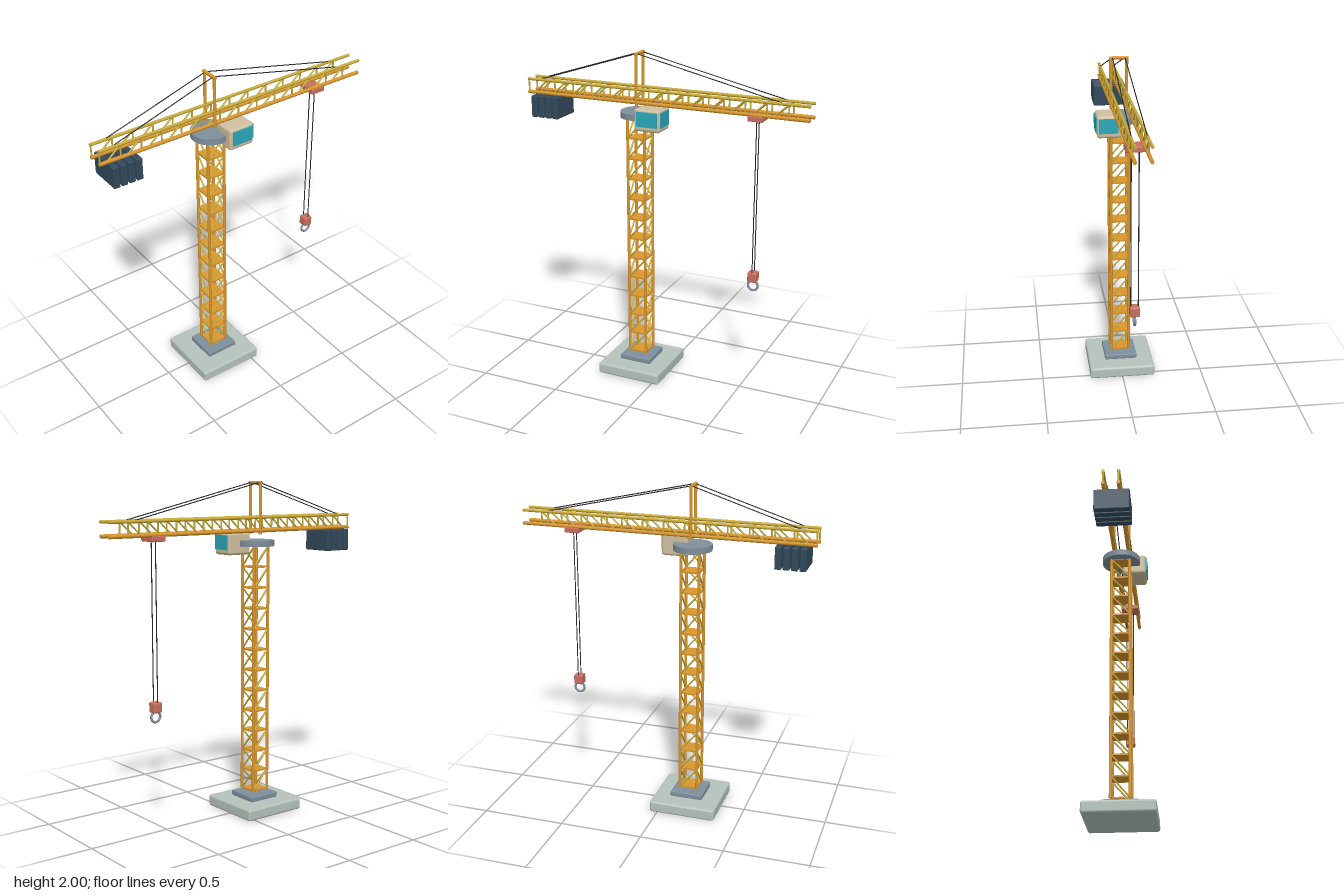
import * as THREE from 'three';
import { RoundedBoxGeometry } from 'three/addons/geometries/RoundedBoxGeometry.js';

const material = (name, color) => {
  const m = new THREE.MeshStandardMaterial({ color });
  m.name = name;
  return m;
};

export function createModel() {
  const orange = material('orange paint', 0xd9962c);
  const yellow = material('yellow paint', 0xcbab36);
  const concrete = material('concrete', 0xb5c3bb);
  const steel = material('steel', 0x7d8f9c);
  const slate = material('counterweight slate', 0x32495c);
  const cream = material('cab cream', 0xcfbf9e);
  const glass = material('glass', 0x2ba8ba);
  const red = material('red paint', 0xc96f5f);
  const black = material('cable black', 0x222426);

  const model = new THREE.Group();
  model.name = 'towerCrane';
  const group = (name) => {
    const g = new THREE.Group();
    g.name = name;
    model.add(g);
    return g;
  };
  const add = (parent, name, geometry, mat, x, y, z) => {
    const mesh = new THREE.Mesh(geometry, mat);
    mesh.name = name;
    mesh.position.set(x, y, z);
    parent.add(mesh);
    return mesh;
  };
  const block = (parent, name, mat, size, pos, r = 0.01) =>
    add(parent, name, new RoundedBoxGeometry(...size, 2, r), mat, ...pos);
  // round bar between two points
  const up = new THREE.Vector3(0, 1, 0);
  const bar = (parent, name, mat, a, b, r) => {
    const p = new THREE.Vector3(...a), q = new THREE.Vector3(...b);
    const d = q.clone().sub(p);
    const mid = p.add(q).multiplyScalar(0.5);
    const mesh = add(parent, name, new THREE.CylinderGeometry(r, r, d.length(), 8), mat, mid.x, mid.y, mid.z);
    mesh.quaternion.setFromUnitVectors(up, d.normalize());
  };

  const cx = -0.157; // mast axis

  // Foundation
  const base = group('base');
  block(base, 'foundationSlab', concrete, [0.405, 0.07, 0.405], [cx, 0.037, 0], 0.014);
  block(base, 'footPlate', steel, [0.2, 0.032, 0.2], [cx, 0.091, 0], 0.006);

  // Mast: four posts, a floor at every level, diagonals on each face
  const mast = group('mast');
  const w = 0.054, y0 = 0.127, step = 0.1245, bays = 12;
  for (const sx of [-1, 1]) for (const sz of [-1, 1]) {
    bar(mast, 'mastPost', orange, [cx + sx * w, y0, sz * w], [cx + sx * w, y0 + bays * step, sz * w], 0.009);
  }
  for (let i = 0; i <= bays; i++) {
    const y = y0 + i * step;
    add(mast, 'mastFloor', new THREE.BoxGeometry(2 * w, 0.01, 2 * w), orange, cx, y, 0);
    if (i === bays) break;
    for (const s of [-1, 1]) {
      bar(mast, 'faceDiagonal', yellow, [cx - s * w, y, s * w], [cx + s * w, y + step, s * w], 0.005);
      bar(mast, 'sideDiagonal', yellow, [cx + s * w, y, w], [cx + s * w, y + step, -w], 0.005);
    }
  }

  // Slewing ring
  add(model, 'slewingRing', new THREE.CylinderGeometry(0.113, 0.113, 0.036, 24), steel, cx, 1.637, 0);

  // Operator cab with a front and a side window
  const cab = group('cab');
  block(cab, 'cabBody', cream, [0.16, 0.13, 0.142], [-0.046, 1.635, 0.075], 0.016);
  add(cab, 'frontWindow', new THREE.BoxGeometry(0.128, 0.086, 0.008), glass, -0.044, 1.643, 0.148);
  add(cab, 'sideWindow', new THREE.BoxGeometry(0.008, 0.086, 0.112), glass, 0.036, 1.643, 0.08);

  // Jib: two parallel trusses
  const jib = group('jib');
  const low = 1.711, high = 1.788, jz = 0.043, pitch = 0.125;
  for (const z of [-jz, jz]) {
    bar(jib, 'lowerChord', orange, [-0.875, low, z], [0.875, low, z], 0.011);
    bar(jib, 'upperChord', yellow, [-0.875, high, z], [0.875, high, z], 0.009);
    for (let i = 0; i <= 13; i++) {
      const x = -0.87 + i * pitch;
      bar(jib, 'jibUpright', yellow, [x, low, z], [x, high, z], 0.005);
      if (i < 13) bar(jib, 'jibDiagonal', yellow, [x + 0.04, low, z], [x + pitch, high, z], 0.005);
    }
  }

  // Tower head with its pendant cables
  const head = group('towerHead');
  for (const s of [-1, 1]) {
    bar(head, 'headPost', orange, [cx, 1.69, s * 0.046], [cx, 1.995, s * 0.046], 0.009);
    for (const [x, y] of [[-0.78, 1.795], [0.715, 1.793]]) {
      bar(head, 'pendantCable', black, [cx, 1.992, s * 0.036], [x, y, s * 0.041], 0.003);
    }
  }
  bar(head, 'headCrossbar', orange, [cx, 1.99, -0.056], [cx, 1.99, 0.056], 0.01);

  // Counterweight slabs
  const weights = group('counterweights');
  for (let i = 0; i < 4; i++) {
    block(weights, 'counterweightSlab', slate, [0.037, 0.13, 0.2], [-0.809 + i * 0.0467, 1.636, 0], 0.006);
  }

  // Trolley, hoist cables and hook
  const hoist = group('hoist');
  const hx = 0.566;
  block(hoist, 'trolley', red, [0.09, 0.032, 0.112], [hx, 1.69, 0], 0.006);
  for (const z of [-0.021, 0.021]) {
    bar(hoist, 'hoistCable', black, [hx, 0.76, z], [hx, 1.68, z], 0.003);
  }
  block(hoist, 'hookBlock', red, [0.056, 0.06, 0.056], [hx, 0.74, 0], 0.008);
  add(hoist, 'hookRing', new THREE.TorusGeometry(0.03, 0.007, 10, 28), steel, hx, 0.684, 0);

  return model;
}
